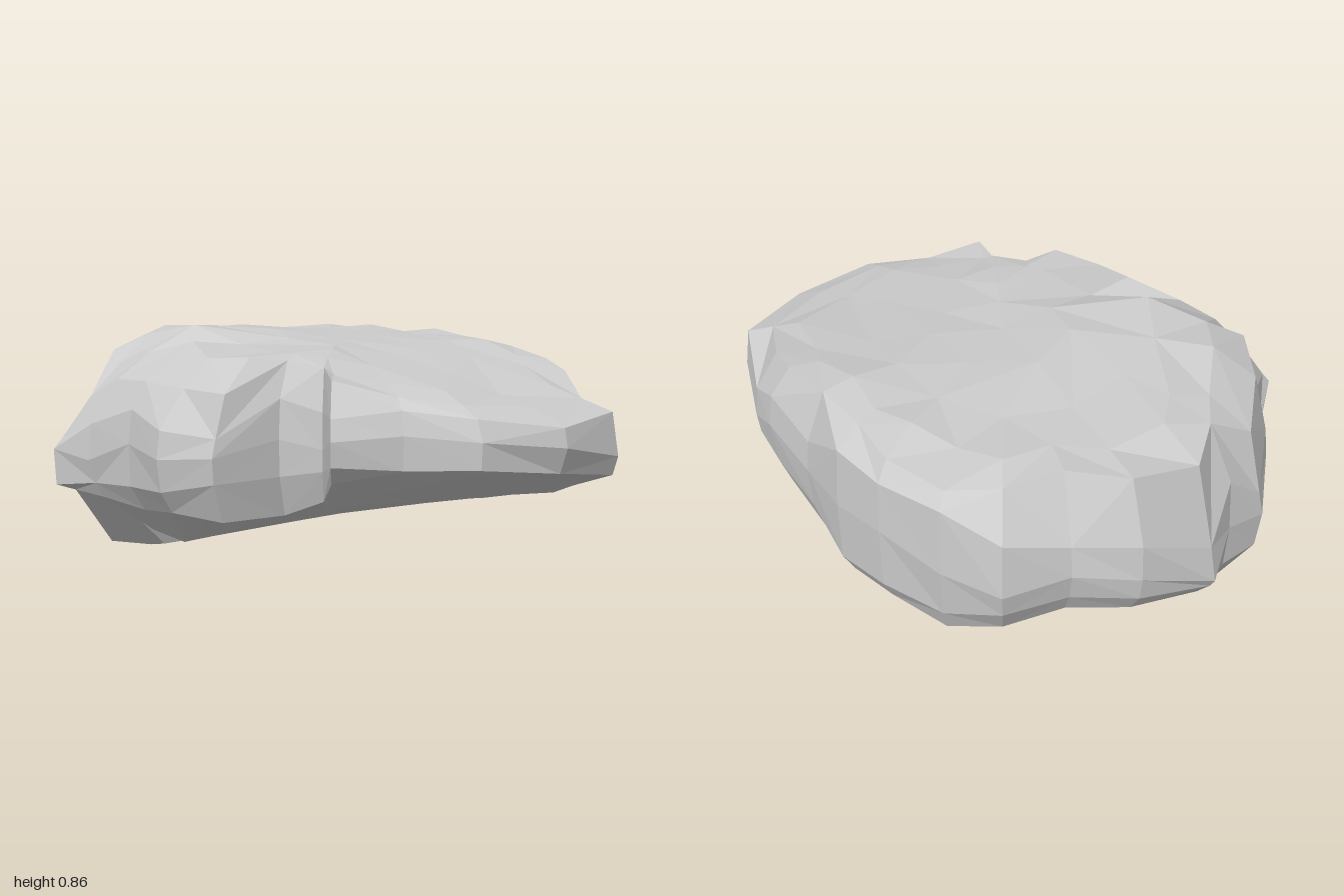
import * as THREE from 'three';

// Plan outline of the boulder: x, z, upper rim height, lower rim height
const OUTLINE = [
  [1, -0.03, 0.63, 0.48], [0.91, 0.26, 0.64, 0.5], [0.72, 0.4, 0.66, 0.5],
  [0.59, 0.58, 0.66, 0.52], [0.43, 0.47, 0.66, 0.47], [0.29, 0.53, 0.69, 0.43],
  [0.27, 0.78, 0.56, 0.43], [0.03, 0.82, 0.6, 0.39], [-0.22, 0.76, 0.62, 0.36],
  [-0.46, 0.77, 0.57, 0.35], [-0.64, 0.8, 0.5, 0.33], [-0.72, 0.6, 0.56, 0.3],
  [-0.85, 0.4, 0.58, 0.28], [-0.98, 0.15, 0.5, 0.28], [-0.94, 0, 0.6, 0.28],
  [-1, -0.18, 0.48, 0.33], [-0.88, -0.43, 0.6, 0.39], [-0.72, -0.58, 0.64, 0.42],
  [-0.6, -0.77, 0.67, 0.4], [-0.4, -0.82, 0.75, 0.33], [-0.15, -0.82, 0.75, 0.34],
  [0.06, -0.79, 0.73, 0.32], [0.3, -0.69, 0.61, 0.34], [0.55, -0.62, 0.65, 0.37],
  [0.7, -0.55, 0.59, 0.39], [0.95, -0.36, 0.62, 0.42],
];

// Height profiles across x and z, for the upper face and the underside
const TOP_X = [[-1, 0.6], [-0.88, 0.78], [-0.7, 0.85], [-0.45, 0.88], [-0.3, 0.88], [-0.1, 0.84], [0.2, 0.82], [0.6, 0.74], [1, 0.63]];
const TOP_Z = [[-0.82, 0.78], [-0.6, 0.83], [-0.15, 0.83], [-0.1, 0.85], [0.2, 0.87], [0.45, 0.89], [0.65, 0.77], [0.82, 0.58]];
const LOW_X = [[-1, 0.33], [-0.88, 0.15], [-0.8, 0], [-0.4, 0.09], [0, 0.2], [0.3, 0.22], [0.6, 0.29], [0.9, 0.37], [1, 0.44]];
const LOW_Z = [[-0.82, 0.33], [-0.76, 0.22], [-0.5, 0.22], [-0.12, 0.13], [0, 0.13], [0.16, 0.02], [0.28, 0], [0.4, 0.03], [0.56, 0.07], [0.6, 0.25], [0.69, 0.26], [0.82, 0.35]];

function sample(profile, t) {
  if (t <= profile[0][0]) return profile[0][1];
  for (let i = 1; i < profile.length; i++) {
    const [t0, v0] = profile[i - 1], [t1, v1] = profile[i];
    if (t <= t1) return v0 + (v1 - v0) * (t - t0) / (t1 - t0);
  }
  return profile[profile.length - 1][1];
}

// The upper face falls away at the front corner of the thick end
function topY(x, z) {
  return Math.min(sample(TOP_X, x), sample(TOP_Z, z)) - 0.25 * Math.max(0, z - x - 0.95);
}

// The underside tilts up to the front on the narrow end and is raised in the back corner
function lowY(x, z) {
  const tilt = 0.27 * Math.max(0, x) * Math.max(0, z + 0.6);
  const corner = 0.9 * Math.max(0, -0.4 - x) * Math.max(0, -0.1 - z);
  return Math.max(sample(LOW_X, x) + tilt, sample(LOW_Z, z)) + corner;
}

// Rings from the crown, over the rim, to the underside: kind, scale, outline points per facet
const RINGS = [
  ['top', 0, 26], ['top', 0.26, 4], ['top', 0.52, 2], ['top', 0.74, 1], ['top', 0.89, 1],
  ['upperRim', 0.98, 1], ['waist', 1, 1], ['lowerRim', 0.985, 1],
  ['low', 0.93, 1], ['low', 0.76, 1], ['low', 0.62, 1], ['low', 0.34, 3], ['low', 0, 26],
];

function rockGeometry() {
  let seed = 11;
  const jitter = (a) => {
    seed = (seed * 16807) % 2147483647;
    return (seed / 2147483647 - 0.5) * 2 * a;
  };
  const n = OUTLINE.length, positions = [], index = [];

  for (const [kind, scale] of RINGS) {
    for (const [ox, oz, hi, lo] of OUTLINE) {
      const rough = scale === 0 || kind === 'waist' ? 0 : 1;
      const s = scale + rough * jitter(kind === 'top' ? 0.035 : 0.012);
      const x = ox * s, z = oz * s;
      let y;
      if (kind === 'top') y = Math.max(topY(x, z) + rough * jitter(0.012), hi);
      else if (kind === 'upperRim') y = hi + jitter(0.02);
      else if (kind === 'waist') y = (hi + lo) / 2 + jitter(0.04);
      else if (kind === 'lowerRim') y = lo + jitter(0.012);
      else y = Math.min(lowY(x, z) + rough * Math.abs(jitter(0.01)), lo);
      positions.push(x, y, z);
    }
  }

  // Stitch rings; merged points widen the inner facets, mixed diagonals vary them
  const point = (k, i) => {
    const step = RINGS[k][2];
    return k * n + Math.floor((i % n) / step) * step;
  };
  const triangle = (a, b, c) => {
    if (a !== b && b !== c && c !== a) index.push(a, b, c);
  };
  for (let k = 0; k < RINGS.length - 1; k++) {
    for (let i = 0; i < n; i++) {
      const a = point(k, i), b = point(k, i + 1), c = point(k + 1, i), d = point(k + 1, i + 1);
      if (jitter(1) > 0) {
        triangle(a, b, c);
        triangle(b, d, c);
      } else {
        triangle(a, b, d);
        triangle(a, d, c);
      }
    }
  }

  const g = new THREE.BufferGeometry();
  g.setAttribute('position', new THREE.Float32BufferAttribute(positions, 3));
  g.setIndex(index);
  const flat = g.toNonIndexed();
  flat.computeVertexNormals();
  return flat;
}

export function createModel() {
  const group = new THREE.Group();
  group.name = 'boulder';
  const rock = new THREE.Mesh(
    rockGeometry(),
    new THREE.MeshStandardMaterial({ color: 0xcccccc, flatShading: true })
  );
  rock.name = 'rock';
  // Rest the lowest point on the ground
  rock.geometry.computeBoundingBox();
  rock.position.y = -rock.geometry.boundingBox.min.y;
  group.add(rock);
  return group;
}
